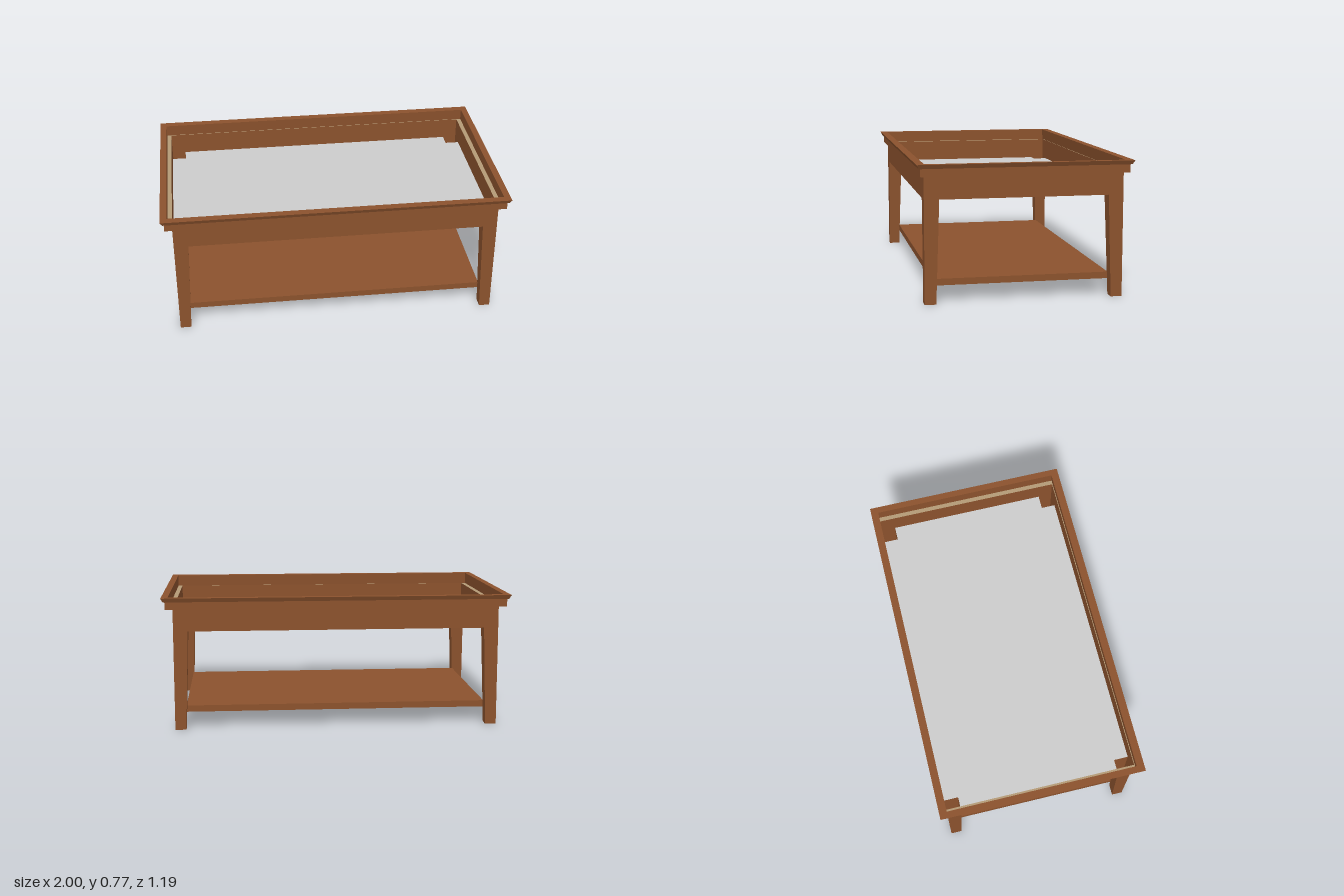
import * as THREE from 'three';

const material = (name, color) => {
  const m = new THREE.MeshStandardMaterial({ color, side: THREE.DoubleSide });
  m.name = name;
  return m;
};

// Four-sided skin through successive rectangles [x0, x1, z0, z1, y]
function loft(rects) {
  const pos = [];
  const corners = ([x0, x1, z0, z1, y]) => [[x0, y, z1], [x1, y, z1], [x1, y, z0], [x0, y, z0]];
  for (let k = 0; k < rects.length - 1; k++) {
    const low = corners(rects[k]), high = corners(rects[k + 1]);
    for (let i = 0; i < 4; i++) {
      const j = (i + 1) % 4;
      pos.push(...low[i], ...low[j], ...high[j], ...low[i], ...high[j], ...high[i]);
    }
  }
  const g = new THREE.BufferGeometry();
  g.setAttribute('position', new THREE.Float32BufferAttribute(pos, 3));
  g.computeVertexNormals();
  return g;
}

// Centred rectangle from half sizes
const ring = (hx, hz, y) => [-hx, hx, -hz, hz, y];

export function createModel() {
  const group = new THREE.Group();
  const wood = material('brown wood', 0x8b522d);
  const tan = material('raw tan wood', 0xb49a76);
  const grey = material('grey panel', 0xcccccc);

  const add = (name, geometry, mat, parent = group) => {
    const mesh = new THREE.Mesh(geometry, mat);
    mesh.name = name;
    parent.add(mesh);
    return mesh;
  };

  const X = 0.936, Z = 0.553;         // outer half sizes of the frame
  const apronY = 0.573, rimY = 0.70;
  const topX = 0.083, topZ = 0.083;   // leg width at the apron
  const footW = 0.063;                // leg width at the floor

  // Apron walls
  add('apron', loft([ring(X, Z, apronY), ring(X, Z, rimY)]), wood);

  // Moulded rim with a flared upper band
  add('lowerMoulding', loft([ring(0.979, 0.576, rimY), ring(0.979, 0.576, 0.745)]), wood);
  add('upperMoulding', loft([
    ring(0.988, 0.586, 0.745), ring(1, 0.597, 0.768),
    ring(0.962, 0.553, 0.768), ring(0.962, 0.557, rimY),
  ]), wood);
  add('mouldingUnderside', loft([ring(X, Z, rimY), ring(0.979, 0.576, rimY)]), tan);
  add('flareUnderside', loft([ring(0.979, 0.576, 0.745), ring(0.988, 0.586, 0.745)]), tan);

  // Inset panel, notched around the open leg tops
  const px = X - topX, pz = Z - topZ;
  const outline = [
    [-px, -Z], [px, -Z], [px, -pz], [X, -pz], [X, pz], [px, pz],
    [px, Z], [-px, Z], [-px, pz], [-X, pz], [-X, -pz], [-px, -pz],
  ].map(([x, y]) => new THREE.Vector2(x, y));
  const panel = new THREE.ShapeGeometry(new THREE.Shape(outline));
  panel.rotateX(-Math.PI / 2).translate(0, apronY, 0);
  add('insetPanel', panel, grey);

  // Hollow legs, tapered on their inner faces
  for (const sx of [-1, 1]) for (const sz of [-1, 1]) {
    const leg = new THREE.Group();
    leg.name = (sz > 0 ? 'front' : 'back') + (sx > 0 ? 'Left' : 'Right') + 'Leg';
    const section = (wx, wz, y) => {
      const xs = [sx * X, sx * (X - wx)].sort((a, b) => a - b);
      const zs = [sz * Z, sz * (Z - wz)].sort((a, b) => a - b);
      return [...xs, ...zs, y];
    };
    add('legWalls', loft([section(footW, footW, 0), section(topX, topZ, apronY)]), wood, leg);
    const foot = new THREE.PlaneGeometry(footW, footW).rotateX(Math.PI / 2);
    foot.translate(sx * (X - footW / 2), 0, sz * (Z - footW / 2));
    add('legFoot', foot, tan, leg);
    group.add(leg);
  }

  // Lower shelf with a grey underside
  const shelf = new THREE.BoxGeometry(1.744, 0.037, 0.978).translate(0, 0.109, 0);
  add('lowerShelf', shelf, [wood, wood, wood, grey, wood, wood]);

  return group;
}
